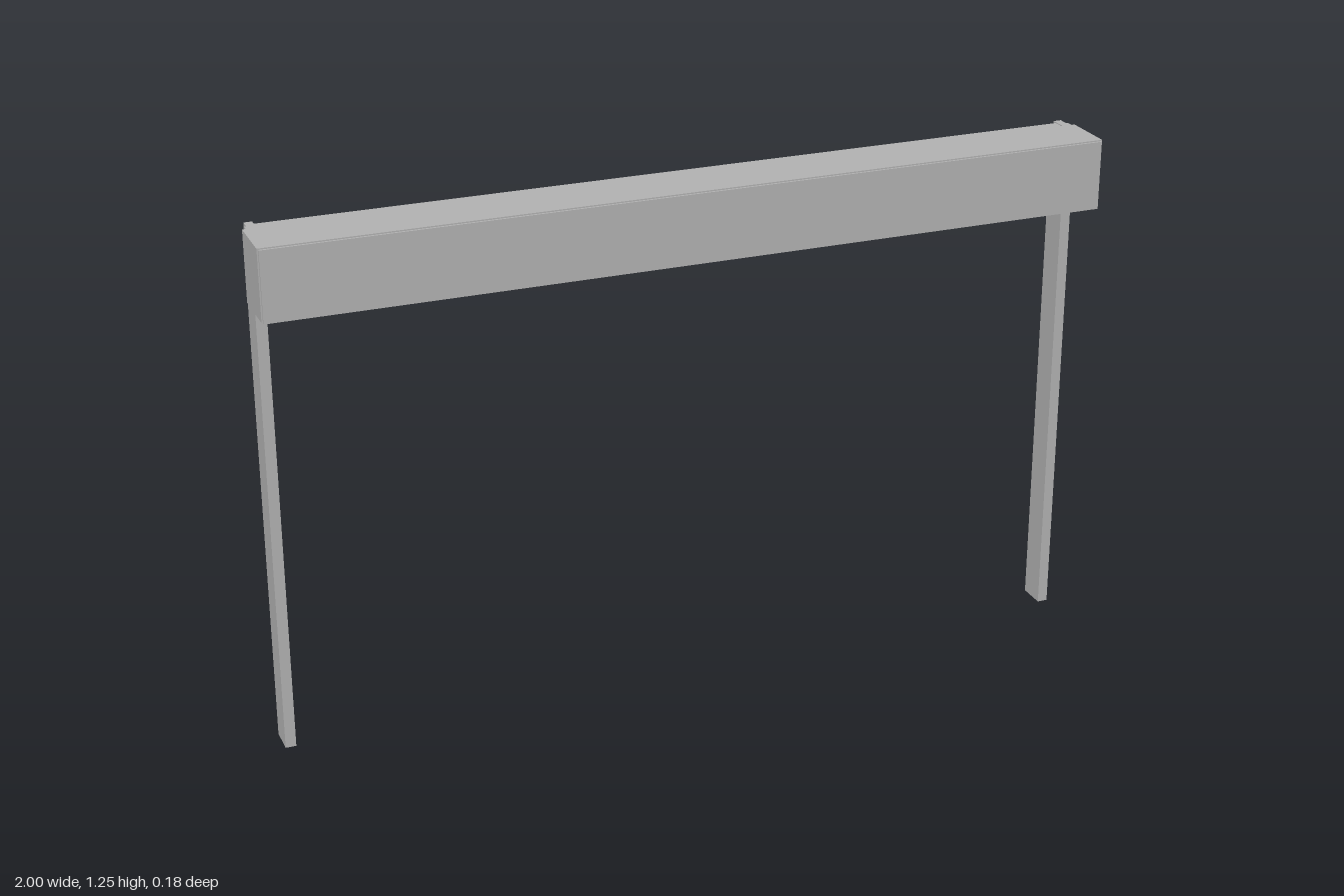
import * as THREE from 'three';

const grey = new THREE.MeshStandardMaterial({ color: 0xb2b2b2 });
grey.name = 'plain grey';

// Box given by its minimum and maximum on each axis
function block(name, [x0, x1], [y0, y1], [z0, z1]) {
  const mesh = new THREE.Mesh(new THREE.BoxGeometry(x1 - x0, y1 - y0, z1 - z0), grey);
  mesh.position.set((x0 + x1) / 2, (y0 + y1) / 2, (z0 + z1) / 2);
  mesh.name = name;
  return mesh;
}

export function createModel() {
  const model = new THREE.Group();
  model.name = 'beamOnPosts';

  // Long housing with a thin front cover
  model.add(block('housing', [-1, 1], [1.085, 1.25], [-0.044, 0.085]));
  model.add(block('frontCover', [-0.997, 0.997], [1.083, 1.247], [0.085, 0.09]));

  // Back of the beam: overhanging top lip with a small turned-down edge
  model.add(block('topLip', [-0.968, 0.968], [1.241, 1.248], [-0.077, -0.044]));
  model.add(block('lipEdge', [-0.968, 0.968], [1.233, 1.241], [-0.077, -0.071]));

  // Rail hanging below the housing, between the posts
  model.add(block('lowerRail', [-0.965, 0.965], [1.065, 1.085], [-0.046, -0.022]));
  model.add(block('railFoot', [-0.965, 0.965], [1.058, 1.065], [-0.048, -0.02]));

  // Posts, mirrored, with a narrower bracket behind the housing
  for (const side of [-1, 1]) {
    const span = (a, b) => (side > 0 ? [a, b] : [-b, -a]);
    const post = new THREE.Group();
    post.name = side > 0 ? 'leftPost' : 'rightPost';
    post.add(block('leg', span(0.964, 0.989), [0, 1.085], [-0.09, -0.022]));
    post.add(block('bracket', span(0.968, 0.987), [1.085, 1.25], [-0.087, -0.044]));
    post.add(block('bracketFlange', span(0.987, 0.992), [1.085, 1.25], [-0.06, -0.044]));
    model.add(post);
  }
  return model;
}
